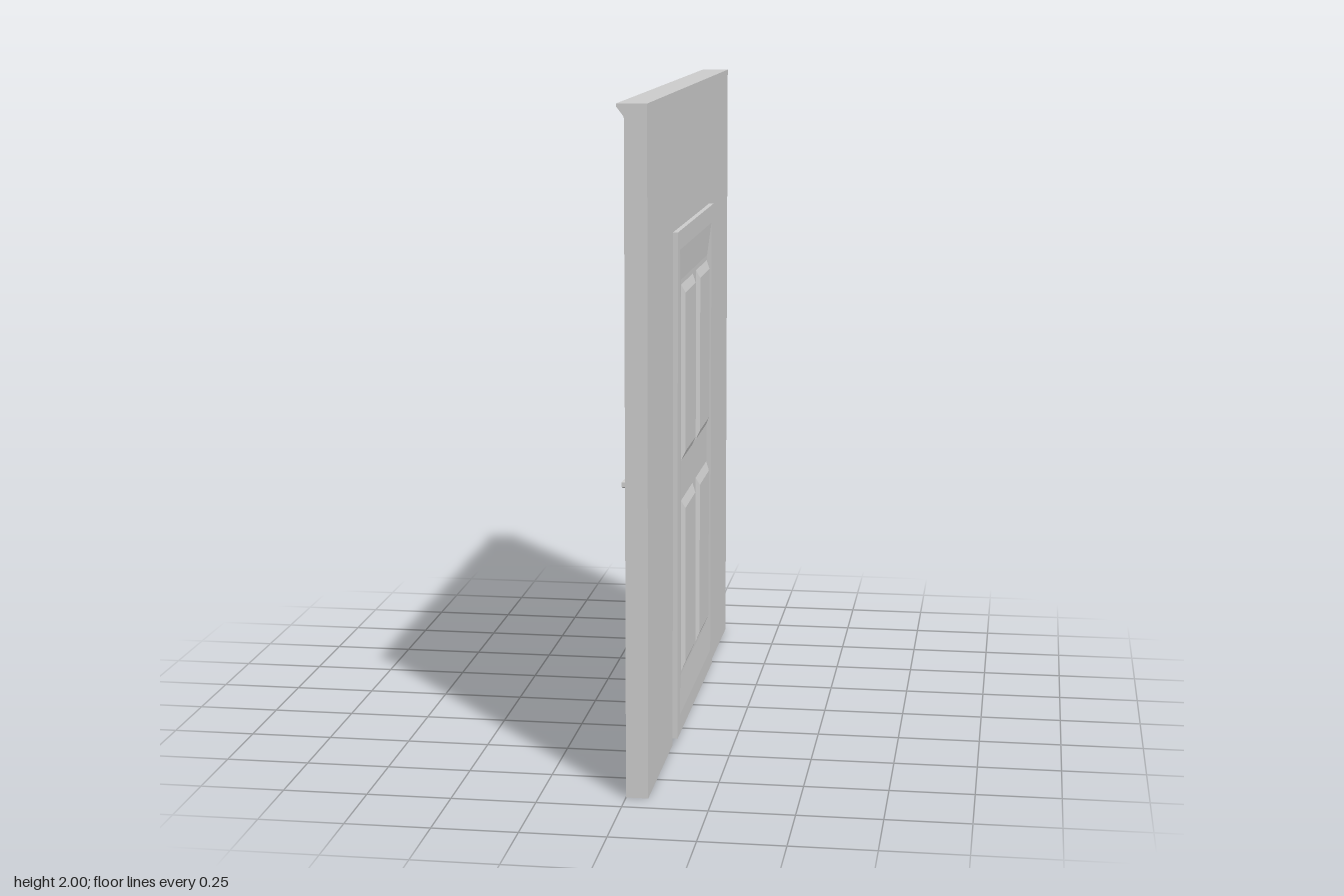
import * as THREE from 'three';

const material = new THREE.MeshStandardMaterial({ color: 0xcccccc, flatShading: true });

function part(name, geometry, parent) {
  const mesh = new THREE.Mesh(geometry, material);
  mesh.name = name;
  parent.add(mesh);
  return mesh;
}

const polygon = points => new THREE.Shape(points.map(([x, y]) => new THREE.Vector2(x, y)));

// Corners of a rectangle, counter-clockwise
const rect = (left, right, bottom, top) => [[left, bottom], [right, bottom], [right, top], [left, top]];

// Four-sided band joining rectangle a at height ha to rectangle b at height hb
function band(a, ha, b, hb) {
  const positions = [];
  for (let i = 0; i < 4; i++) {
    const j = (i + 1) % 4;
    const [p, q, r, s] = [[...a[i], ha], [...a[j], ha], [...b[j], hb], [...b[i], hb]];
    positions.push(...p, ...q, ...r, ...p, ...r, ...s);
  }
  const geometry = new THREE.BufferGeometry();
  geometry.setAttribute('position', new THREE.Float32BufferAttribute(positions, 3));
  geometry.computeVertexNormals();
  return geometry;
}

// One half of the door: edge, rim, sloped border, recessed field and four raised panels
function doorFace(name, rim, field, raised) {
  const face = new THREE.Group();
  face.name = name;
  const outer = rect(-0.42, 0.42, 0.02, 1.587);
  const border = rect(-0.37, 0.37, 0.08, 1.53);
  const inner = rect(-0.31, 0.31, 0.19, 1.43);
  part('doorEdge', band(outer, 0, outer, rim), face);
  part('doorRim', band(outer, rim, border, rim), face);
  part('doorBorder', band(border, rim, inner, field), face);

  const fieldShape = polygon(inner);
  for (const [bottom, top] of [[0.2, 0.745], [0.87, 1.415]]) {
    for (const left of [-0.3, 0.038]) {
      const right = left + 0.262;
      const foot = rect(left, right, bottom, top);
      const crown = rect(left + 0.017, right - 0.017, bottom + 0.027, top - 0.027);
      fieldShape.holes.push(new THREE.Path(foot.map(([x, y]) => new THREE.Vector2(x, y))));
      part('panelBevel', band(foot, field, crown, raised), face);
      part('panelTop', new THREE.ShapeGeometry(polygon(crown)), face).position.z = raised;
    }
  }
  part('doorField', new THREE.ShapeGeometry(fieldShape), face).position.z = field;
  face.position.x = 0.0325;
  return face;
}

export function createModel() {
  const model = new THREE.Group();
  model.name = 'wallWithDoor';

  // Wall with a doorway open at the floor
  const wallShape = polygon([
    [-0.92, 0], [-0.42, 0], [-0.42, 1.587], [0.42, 1.587],
    [0.42, 0], [0.92, 0], [0.92, 2], [-0.92, 2],
  ]);
  const wall = new THREE.ExtrudeGeometry(wallShape, { depth: 0.065, bevelEnabled: false });
  part('wall', wall.rotateY(Math.PI / 2), model);

  // Moulding along the top of the wall
  const moulding = polygon([
    [0, 2], [-0.021, 2], [-0.021, 1.99], [-0.016, 1.984], [-0.008, 1.973], [-0.003, 1.967], [0, 1.96],
  ]);
  const cornice = new THREE.ExtrudeGeometry(moulding, { depth: 1.84, bevelEnabled: false });
  part('cornice', cornice.translate(0, 0, -0.92), model);

  // Door, panelled on both sides
  const door = new THREE.Group();
  door.name = 'door';
  const front = doorFace('doorFront', 0.0475, 0.041, 0.0525);
  front.rotation.y = Math.PI / 2;
  const back = doorFace('doorBack', 0.0475, 0.041, 0.0495);
  back.rotation.y = -Math.PI / 2;
  door.add(front, back);
  model.add(door);

  // Lever handle: tapered stem and flat lever
  const handle = new THREE.Group();
  handle.name = 'handle';
  const stem = new THREE.CylinderGeometry(0.011, 0.007, 0.07, 8).rotateZ(Math.PI / 2);
  part('handleStem', stem.translate(-0.05, 0.812, 0.391), handle);
  const plan = polygon([
    [-0.091, 0.399], [-0.087, 0.263], [-0.079, 0.263], [-0.073, 0.375], [-0.066, 0.385], [-0.066, 0.397],
  ]);
  const lever = new THREE.ExtrudeGeometry(plan, {
    depth: 0.014, bevelThickness: 0.004, bevelSize: 0.004, bevelSegments: 1,
  });
  part('handleLever', lever.rotateX(Math.PI / 2).translate(0, 0.819, 0), handle);
  model.add(handle);

  return model;
}
